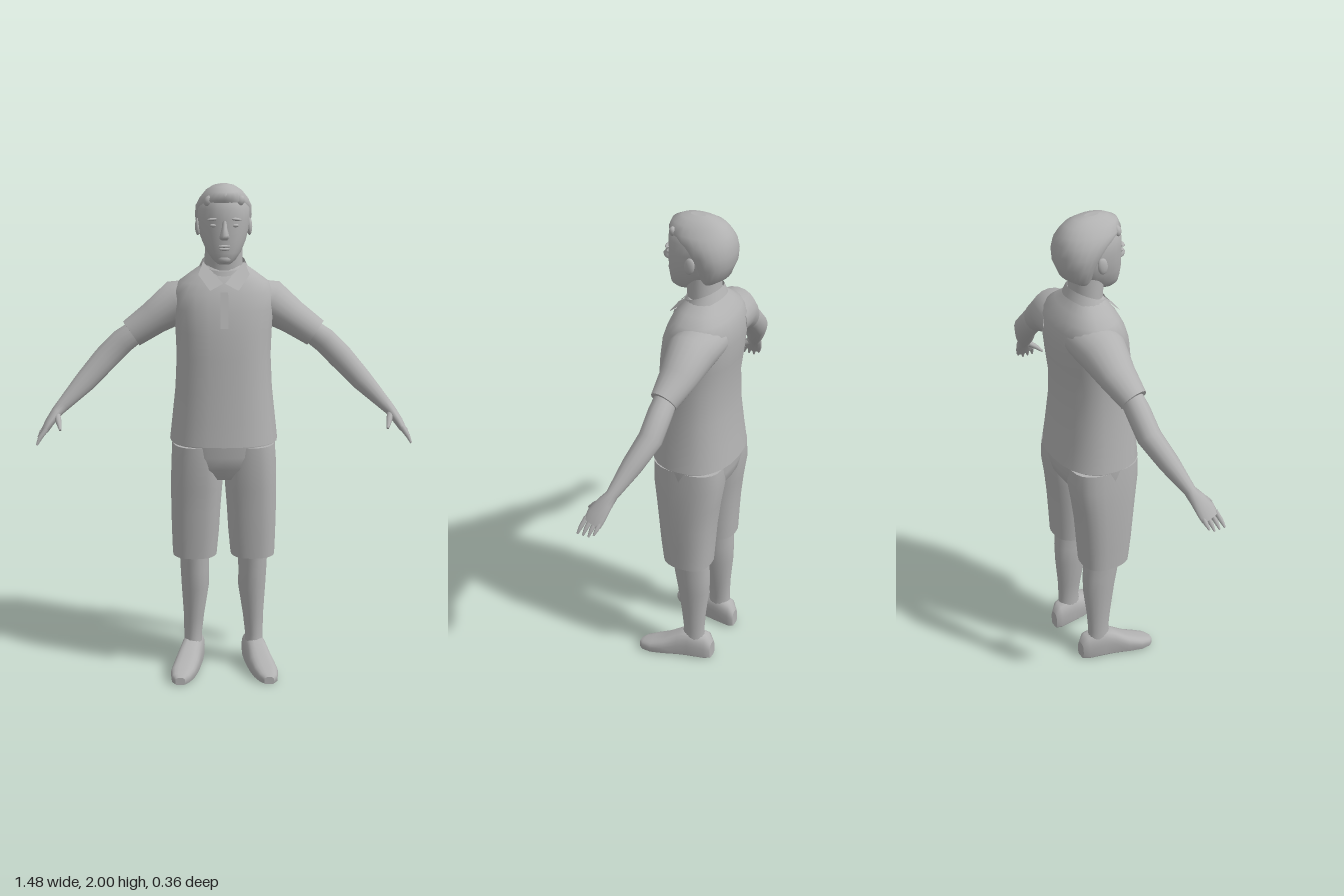
import * as THREE from 'three';

const V = (x, y, z) => new THREE.Vector3(x, y, z);
const skinGrey = new THREE.MeshStandardMaterial({ color: 0xb2b2b2, side: THREE.DoubleSide });
skinGrey.name = 'plain grey';

// Smooth skin through a list of rings, with flat end caps
function loft(rings, caps = true) {
  const n = rings[0].length, pos = [], idx = [];
  rings.forEach(r => r.forEach(p => pos.push(p.x, p.y, p.z)));
  for (let i = 0; i < rings.length - 1; i++) for (let j = 0; j < n; j++) {
    const k = (j + 1) % n, a = i * n + j, b = i * n + k;
    idx.push(a, b, b + n, a, b + n, a + n);
  }
  if (caps) [rings[0], rings[rings.length - 1]].forEach((r, end) => {
    const base = pos.length / 3, mid = V(0, 0, 0);
    r.forEach(p => { pos.push(p.x, p.y, p.z); mid.addScaledVector(p, 1 / n); });
    pos.push(mid.x, mid.y, mid.z);
    for (let j = 0; j < n; j++) {
      const a = base + j, b = base + (j + 1) % n;
      idx.push(base + n, end ? a : b, end ? b : a);
    }
  });
  const g = new THREE.BufferGeometry();
  g.setAttribute('position', new THREE.Float32BufferAttribute(pos, 3));
  g.setIndex(idx);
  g.computeVertexNormals();
  return g;
}

const pow = (v, e) => Math.sign(v) * Math.abs(v) ** e;
const turn = (n, f) => Array.from({ length: n }, (_, j) => f(Math.cos(j / n * 2 * Math.PI), Math.sin(j / n * 2 * Math.PI)));

// Level rings: [y, centre x, front z, back z, half width], optionally tilted front to back
const level = (rows, e = 0.85, tilt = 0, n = 24) => rows.map(([y, cx, zf, zb, w]) => turn(n, (c, s) => {
  const z = (zf + zb) / 2 + (zf - zb) / 2 * pow(c, e);
  return V(cx + w * pow(s, e), y + tilt * z, z);
}));

// Rings square to a path: [x, y, z, half depth, half thickness]
const along = (rows, n = 14) => rows.map(([x, y, z, a, b], i) => {
  const p = rows[Math.max(i - 1, 0)], q = rows[Math.min(i + 1, rows.length - 1)];
  const t = V(q[0] - p[0], q[1] - p[1], q[2] - p[2]).normalize();
  const u = V(0, 0, 1).addScaledVector(t, -t.z).normalize();
  const v = t.clone().cross(u);
  return turn(n, (c, s) => V(x, y, z).addScaledVector(u, a * c).addScaledVector(v, b * s));
});

export function createModel() {
  const model = new THREE.Group();
  model.name = 'standingMan';
  const add = (name, geometry) => {
    const m = new THREE.Mesh(geometry, skinGrey);
    m.name = name;
    model.add(m);
    return m;
  };
  // Left part and its mirrored right part
  const pair = (name, rings, caps) => {
    add('left' + name, loft(rings, caps));
    add('right' + name, loft(rings.map(r => r.map(p => V(-p.x, p.y, p.z)).reverse()), caps));
  };
  const ball = (name, x, y, z, a, b, c) => {
    const m = add(name, new THREE.SphereGeometry(1, 12, 8));
    m.position.set(x, y, z);
    m.scale.set(a, b, c);
    return m;
  };

  // Shirt body and sleeves
  add('shirt', loft(level([
    [0.99, 0, 0.16, -0.18, 0.215], [1.08, 0, 0.153, -0.168, 0.205], [1.2, 0, 0.143, -0.155, 0.192],
    [1.33, 0, 0.135, -0.152, 0.186], [1.43, 0, 0.127, -0.165, 0.19], [1.52, 0, 0.112, -0.172, 0.2],
    [1.58, 0, 0.09, -0.166, 0.2], [1.62, 0, 0.07, -0.15, 0.175], [1.65, 0, 0.05, -0.125, 0.135],
    [1.685, 0, 0.025, -0.1, 0.085]])));
  pair('Sleeve', along([
    [0.08, 1.545, -0.065, 0.1, 0.08], [0.19, 1.53, -0.062, 0.094, 0.088],
    [0.275, 1.47, -0.053, 0.074, 0.068], [0.365, 1.41, -0.037, 0.053, 0.058]], 20));

  // Collar band, collar points and front placket
  add('collarBand', loft(level([
    [1.645, 0, 0.06, -0.11, 0.105], [1.685, 0, 0.045, -0.097, 0.086]], 1, -0.4), false));
  for (const s of [1, -1]) {
    const flap = new THREE.BufferGeometry().setFromPoints([
      V(s * 0.08, 1.7, 0), V(s * 0.004, 1.625, 0.08), V(s * 0.055, 1.6, 0.097), V(s * 0.1, 1.655, 0.04)]);
    flap.setIndex(s > 0 ? [0, 1, 2, 0, 2, 3] : [0, 2, 1, 0, 3, 2]);
    flap.computeVertexNormals();
    add(s > 0 ? 'leftCollarPoint' : 'rightCollarPoint', flap);
  }
  const placket = add('placket', new THREE.BoxGeometry(0.03, 0.14, 0.006));
  placket.position.set(0, 1.525, 0.11);
  placket.rotation.x = -0.27;

  // Shorts
  add('shortsSeat', loft(level([
    [0.84, 0, 0.09, -0.115, 0.12], [0.89, 0, 0.125, -0.15, 0.19],
    [0.94, 0, 0.135, -0.162, 0.208], [1.02, 0, 0.14, -0.165, 0.205]])));
  pair('ShortsLeg', level([
    [0.505, 0.118, 0.085, -0.117, 0.09], [0.6, 0.115, 0.097, -0.123, 0.096],
    [0.7, 0.113, 0.106, -0.13, 0.1], [0.8, 0.109, 0.117, -0.142, 0.104],
    [0.9, 0.106, 0.13, -0.158, 0.105], [0.98, 0.105, 0.13, -0.155, 0.1]], 0.8));

  // Lower legs
  pair('Leg', level([
    [0.08, 0.127, 0.01, -0.092, 0.038], [0.14, 0.127, 0.002, -0.088, 0.037],
    [0.22, 0.123, 0.012, -0.092, 0.042], [0.35, 0.117, 0.032, -0.105, 0.056],
    [0.43, 0.119, 0.045, -0.107, 0.058], [0.56, 0.12, 0.058, -0.1, 0.062]], 1, 0, 16));

  // Shoes: [z, centre x, half width, height]
  pair('Shoe', [
    [-0.122, 0.115, 0.024, 0.075], [-0.1, 0.118, 0.04, 0.115], [-0.03, 0.13, 0.046, 0.13],
    [0.015, 0.14, 0.048, 0.115], [0.07, 0.155, 0.052, 0.08], [0.125, 0.17, 0.05, 0.058],
    [0.165, 0.178, 0.038, 0.044], [0.184, 0.181, 0.02, 0.032]
  ].map(([z, cx, w, h]) => turn(18, (c, s) =>
    V(cx + w * pow(c, 0.7), h / 2 * (1 + pow(s, s < 0 ? 0.25 : 0.9)), z))));

  // Arms, hands and fingers
  pair('Arm', along([
    [0.33, 1.43, -0.04, 0.042, 0.045], [0.4, 1.38, -0.04, 0.046, 0.05], [0.47, 1.31, -0.036, 0.046, 0.05],
    [0.55, 1.225, 0.002, 0.039, 0.043], [0.635, 1.14, 0.04, 0.023, 0.027], [0.66, 1.115, 0.055, 0.032, 0.022],
    [0.69, 1.075, 0.075, 0.041, 0.018], [0.708, 1.045, 0.085, 0.038, 0.014]]));
  [-0.03, -0.01, 0.01, 0.03].forEach((o, i) => {
    const drop = i === 0 ? 0.014 : 0;
    pair('Finger' + (i + 1), along([
      [0.698, 1.06, 0.083 + o, 0.01, 0.011], [0.722, 1.028 + drop / 2, 0.092 + o * 1.1, 0.009, 0.009],
      [0.735, 1.0 + drop, 0.1 + o * 1.15, 0.004, 0.004]], 8));
  });
  pair('Thumb', along([
    [0.66, 1.115, 0.065, 0.014, 0.014], [0.65, 1.088, 0.105, 0.011, 0.012], [0.641, 1.06, 0.135, 0.005, 0.005]], 8));

  // Neck and head
  add('neck', loft(level([
    [1.62, 0, 0.035, -0.1, 0.08], [1.7, 0, 0.037, -0.09, 0.074], [1.8, 0, 0.05, -0.09, 0.072]], 1)));
  add('head', loft(level([
    [1.7, 0, 0.088, 0.03, 0.025], [1.715, 0, 0.106, -0.01, 0.044], [1.745, 0, 0.11, -0.06, 0.067],
    [1.785, 0, 0.113, -0.1, 0.085], [1.83, 0, 0.113, -0.135, 0.097], [1.87, 0, 0.113, -0.14, 0.101],
    [1.91, 0, 0.112, -0.135, 0.1], [1.95, 0, 0.098, -0.11, 0.083], [1.98, 0, 0.06, -0.07, 0.045]], 0.92)));

  // Hair swept back from the forehead
  add('hair', loft(level([
    [1.745, 0, -0.03, -0.08, 0.055], [1.775, 0, -0.02, -0.125, 0.084], [1.83, 0, 0.0, -0.148, 0.104],
    [1.875, 0, 0.035, -0.153, 0.111], [1.915, 0, 0.078, -0.147, 0.108], [1.945, 0, 0.112, -0.133, 0.094],
    [1.975, 0, 0.1, -0.108, 0.07], [1.993, 0, 0.065, -0.07, 0.042], [2.0, 0, 0.03, -0.03, 0.015]], 0.95)));
  for (let i = 0; i < 5; i++) {
    const lock = ball('hairLock' + (i + 1), -0.06 + i * 0.03, 1.957 - Math.abs(i - 2) * 0.008, 0.09 - Math.abs(i - 2) * 0.009, 0.017, 0.022, 0.016);
    lock.rotation.z = -0.5;
  }

  // Face
  add('nose', loft(level([
    [1.797, 0, 0.122, 0.09, 0.014], [1.805, 0, 0.139, 0.09, 0.02], [1.817, 0, 0.145, 0.09, 0.017],
    [1.84, 0, 0.129, 0.09, 0.011], [1.87, 0, 0.115, 0.09, 0.009]], 1, 0, 12)));
  ball('upperLip', 0, 1.773, 0.111, 0.026, 0.005, 0.008);
  ball('lowerLip', 0, 1.762, 0.11, 0.022, 0.006, 0.008);
  ball('chin', 0, 1.722, 0.094, 0.026, 0.018, 0.017);
  for (const s of [1, -1]) {
    const side = s > 0 ? 'left' : 'right';
    ball(side + 'Eye', s * 0.04, 1.851, 0.1, 0.016, 0.007, 0.009);
    ball(side + 'Brow', s * 0.042, 1.875, 0.1, 0.024, 0.006, 0.012).rotation.z = -s * 0.1;
    ball(side + 'Ear', s * 0.1, 1.835, -0.012, 0.011, 0.034, 0.021).rotation.x = -0.15;
  }
  return model;
}
